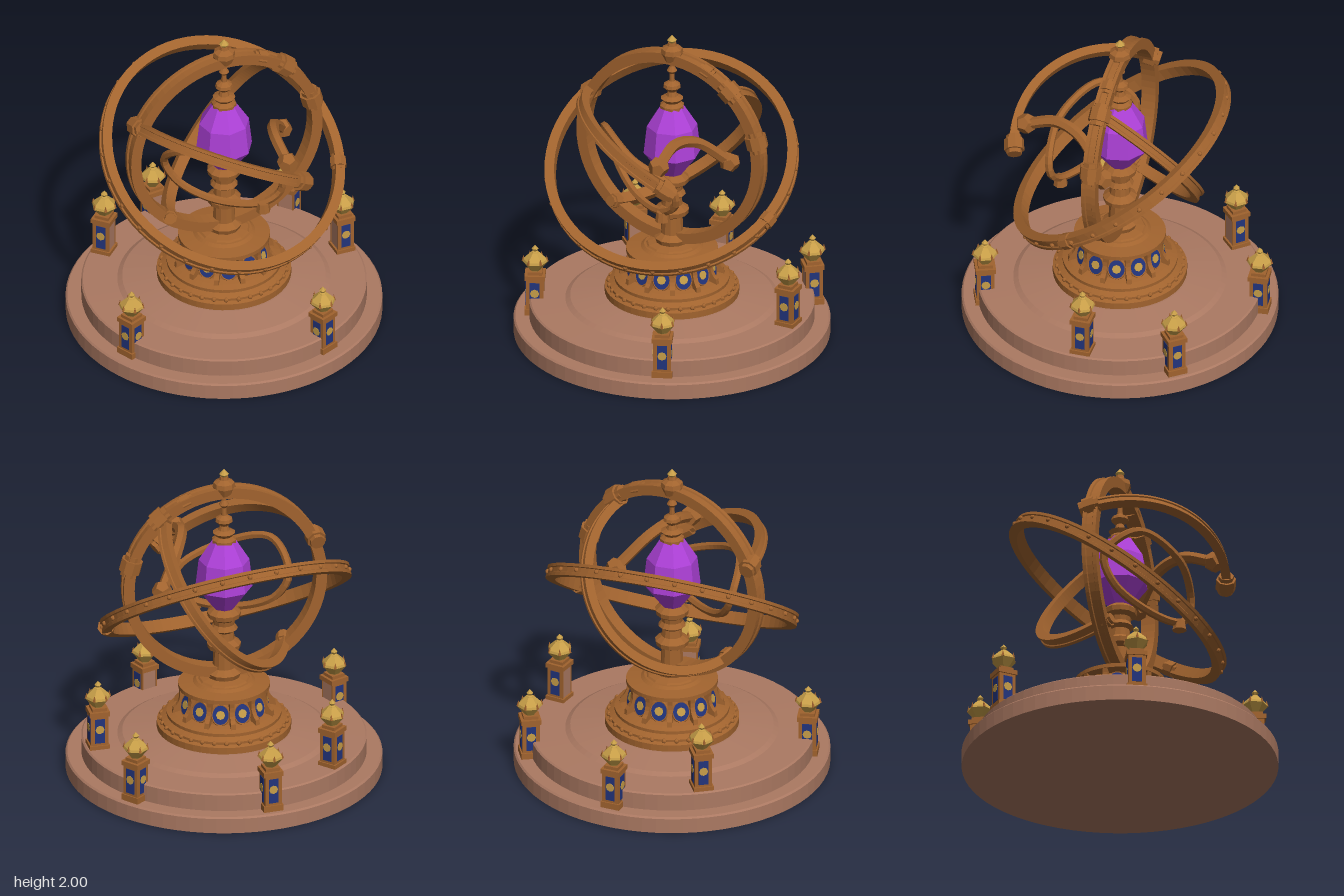
import * as THREE from 'three';

const mat = (name, color) => {
  const m = new THREE.MeshStandardMaterial({ color });
  m.name = name;
  m.flatShading = true;
  return m;
};

export function createModel() {
  const bronze = mat('bronze', 0xa1632e);
  const stone = mat('stone', 0xab7962);
  const gold = mat('gold', 0xc79e48);
  const blue = mat('blue enamel', 0x22347c);
  const purple = mat('purple crystal', 0xac40d6);

  const model = new THREE.Group();
  const add = (parent, name, geo, material, x = 0, y = 0, z = 0) => {
    const m = new THREE.Mesh(geo, material);
    m.name = name;
    m.position.set(x, y, z);
    parent.add(m);
    return m;
  };
  const group = (parent, name) => {
    const g = new THREE.Group();
    g.name = name;
    parent.add(g);
    return g;
  };
  const lathe = (pts, n, start = 0, length = Math.PI * 2) =>
    new THREE.LatheGeometry(pts.map(p => new THREE.Vector2(p[0], p[1])), n, start, length);

  // Stepped stone platform
  add(model, 'platform', lathe([
    [0, 0], [0.965, 0], [0.965, 0.095], [0.955, 0.105], [0.87, 0.105], [0.87, 0.21],
    [0.86, 0.218], [0.65, 0.222], [0.62, 0.24], [0.42, 0.268], [0, 0.27]], 72), stone);

  // Pedestal and stem
  add(model, 'pedestal', lathe([
    [0.41, 0.25], [0.41, 0.31], [0.385, 0.32], [0.385, 0.335], [0.35, 0.355], [0.35, 0.375], [0.31, 0.39],
    [0.27, 0.4], [0.238, 0.52], [0.28, 0.54], [0.28, 0.565], [0.19, 0.575], [0.17, 0.59], [0, 0.6]], 48), bronze);
  add(model, 'stem', lathe([
    [0.17, 0.58], [0.15, 0.6], [0.1, 0.61], [0.11, 0.64], [0.07, 0.67], [0.065, 0.78], [0.1, 0.8],
    [0.105, 0.83], [0.065, 0.86], [0.06, 0.91], [0.085, 0.93], [0.065, 0.96], [0.07, 0.99],
    [0.1, 1.01], [0.105, 1.04], [0.07, 1.07], [0, 1.07]], 12), bronze);

  // Rim studs, windows and curved pilasters around the pedestal
  const studGeo = new THREE.SphereGeometry(0.015, 8, 6);
  for (let i = 0; i < 32; i++) {
    const a = i / 32 * Math.PI * 2;
    add(model, 'rimStud', studGeo, bronze, 0.385 * Math.sin(a), 0.327, 0.385 * Math.cos(a));
  }
  const pilasterShape = new THREE.Shape();
  pilasterShape.moveTo(0.2, 0.385);
  pilasterShape.lineTo(0.32, 0.385);
  pilasterShape.lineTo(0.315, 0.42);
  pilasterShape.quadraticCurveTo(0.262, 0.46, 0.278, 0.545);
  pilasterShape.lineTo(0.2, 0.545);
  const pilasterGeo = new THREE.ExtrudeGeometry(pilasterShape, { depth: 0.03, bevelEnabled: false, curveSegments: 5 });
  pilasterGeo.translate(0, 0, -0.015).rotateY(-Math.PI / 2);
  const disc = (r, d, n) => new THREE.CylinderGeometry(r, r, d, n).rotateX(Math.PI / 2);
  const windowGeo = disc(0.05, 0.008, 16).scale(1, 1.2, 1);
  const frameGeo = new THREE.TorusGeometry(0.053, 0.006, 5, 20).scale(1, 1.2, 1);
  const emblemGeo = disc(0.028, 0.006, 8);
  for (let i = 0; i < 12; i++) {
    const bay = group(model, 'pedestalBay');
    bay.rotation.y = i / 12 * Math.PI * 2 - 0.12;
    const win = group(bay, 'window');
    win.position.set(0, 0.459, 0.257);
    win.rotation.x = -0.26;
    add(win, 'windowPane', windowGeo, blue);
    add(win, 'windowFrame', frameGeo, bronze);
    add(win, 'windowEmblem', emblemGeo, gold, 0, 0, 0.005);
    add(bay, 'pilaster', pilasterGeo, bronze).rotation.y = Math.PI / 12;
  }

  // Crystal with spindle and finial above
  add(model, 'crystal', lathe([[0, 1.05], [0.06, 1.06], [0.175, 1.21], [0.155, 1.39], [0.07, 1.525], [0, 1.53]], 8), purple);
  add(model, 'spindle', lathe([
    [0.075, 1.5], [0.075, 1.53], [0.05, 1.55], [0.07, 1.575], [0.035, 1.59], [0.025, 1.62], [0.055, 1.65],
    [0.05, 1.67], [0.018, 1.69], [0.015, 1.74], [0.032, 1.76], [0.014, 1.79], [0.012, 1.86]], 10), bronze);
  add(model, 'topBoss', lathe([[0, 1.81], [0.05, 1.83], [0.07, 1.88], [0.065, 1.91], [0.03, 1.93], [0.025, 1.95], [0, 1.95]], 8), bronze);
  add(model, 'topFinial', lathe([[0.012, 1.94], [0.03, 1.965], [0, 2]], 8), gold);

  // Angle around a ring of the point nearest a target
  const angleOn = (ring, target) => {
    const p = ring.worldToLocal(new THREE.Vector3(...target));
    return Math.atan2(p.x, p.z);
  };
  // Armillary ring, or an arc of one running from -> via -> to
  const makeRing = (name, R, c, n, w, h, span) => {
    const ring = group(model, name);
    ring.position.set(...c);
    ring.quaternion.setFromUnitVectors(new THREE.Vector3(0, 1, 0), new THREE.Vector3(...n).normalize());
    ring.userData.radius = R;
    ring.updateMatrixWorld(true);
    let start = 0, length = Math.PI * 2;
    if (span) {
      const [a, v, b] = span.map(p => angleOn(ring, p));
      const turn = (from, to) => THREE.MathUtils.euclideanModulo(to - from, Math.PI * 2);
      const forward = turn(a, v) < turn(a, b);
      start = forward ? a : b;
      length = forward ? turn(a, b) : turn(b, a);
    }
    add(ring, 'ringBand', lathe([
      [R + w, -h], [R + w, -h * 0.5], [R + w * 0.7, -h * 0.4], [R + w * 0.7, h * 0.4], [R + w, h * 0.5],
      [R + w, h], [R - w, h], [R - w, -h], [R + w, -h]], 72, start, length), bronze);
    return ring;
  };
  // Collar clasped on a ring
  const collarGeo = new THREE.CylinderGeometry(0.065, 0.065, 0.075, 8).rotateZ(Math.PI / 2);
  const lipGeo = new THREE.CylinderGeometry(0.05, 0.05, 0.13, 8).rotateZ(Math.PI / 2);
  const collar = (ring, target, s) => {
    const R = ring.userData.radius, a = angleOn(ring, target);
    const g = group(ring, 'ringCollar');
    g.position.set(R * Math.sin(a), 0, R * Math.cos(a));
    g.rotation.y = a;
    g.scale.setScalar(s);
    add(g, 'collarBody', collarGeo, bronze);
    add(g, 'collarLip', lipGeo, bronze);
  };

  const meridian = makeRing('meridianRing', 0.6, [0, 1.25, 0], [0.17, 0, 0.98], 0.034, 0.045);
  collar(meridian, [0.24, 1.81, -0.04], 0.75);
  collar(meridian, [0.39, 1.7, -0.07], 1.05);
  collar(meridian, [0.55, 1.4, -0.1], 1.05);

  const outer = makeRing('outerRing', 0.75, [-0.01, 1.13, -0.01], [0.25, 1, 0.65], 0.03, 0.038);
  collar(outer, [0.72, 0.98, 0], 0.8);
  for (let i = 0; i < 28; i++) {
    const a = i / 28 * Math.PI * 2;
    add(outer, 'ringStud', studGeo, bronze, 0.773 * Math.sin(a), 0, 0.773 * Math.cos(a));
  }

  const tiltedEnds = [[-0.56, 1.5, 0.08], [0.4, 1.24, 0.63]];
  const tilted = makeRing('tiltedArc', 0.645, [0.01, 1.2, 0], [0.46, 1, -0.4], 0.027, 0.034,
    [tiltedEnds[0], [-0.2, 1.5, 0.55], tiltedEnds[1]]);
  tiltedEnds.forEach(p => collar(tilted, p, 0.95));

  const steepEnds = [[0.4, 1.72, -0.07], [-0.38, 0.78, 0.1]];
  const steep = makeRing('steepArc', 0.575, [0, 1.24, 0], [-0.267, 0.205, -0.084], 0.028, 0.034,
    [steepEnds[0], [0.15, 1.2, -0.55], steepEnds[1]]);
  collar(steep, steepEnds[1], 0.7);

  // Free-form bands: curved arm and inner loop
  const band = (name, pts, r, closed) => {
    const curve = new THREE.CatmullRomCurve3(pts.map(p => new THREE.Vector3(...p)), closed);
    add(model, name, new THREE.TubeGeometry(curve, 48, r, 6, closed), bronze);
  };
  const knobGeo = new THREE.DodecahedronGeometry(0.066);
  const arm = [[0.28, 1.38, 0.5], [0.25, 1.44, 0.3], [0.28, 1.4, 0.12], [0.38, 1.22, -0.08]];
  band('curvedArm', arm, 0.036, false);
  add(model, 'armKnob', knobGeo, bronze, ...arm[0]);
  add(model, 'armKnob', knobGeo, bronze, ...arm[3]);
  band('innerLoop', [
    [-0.4, 1.24, 0.1], [-0.3, 1.4, 0.28], [0, 1.31, 0.4], [0.26, 1.18, 0.35], [0.28, 1.06, 0.33],
    [0.17, 0.97, 0.31], [-0.1, 0.97, 0.22], [-0.32, 1.08, 0.12]], 0.025, true);
  add(model, 'loopKnob', new THREE.CylinderGeometry(0.035, 0.045, 0.06, 8), bronze, 0.17, 0.945, 0.32);

  // Boundary pillars topped with gilded lanterns
  const box = (x, y, z) => new THREE.BoxGeometry(x, y, z);
  const gemGeo = lathe([[0.025, 0.27], [0.035, 0.29], [0.08, 0.345], [0.075, 0.36], [0.028, 0.405], [0, 0.41]], 6);
  const spikeGeo = lathe([[0.03, 0.395], [0.022, 0.41], [0.012, 0.415], [0.022, 0.43], [0, 0.455]], 6);
  const prongGeo = new THREE.ConeGeometry(0.012, 0.04, 4);
  const spots = [
    [-0.25, -0.83, 0.1], [0.565, -0.67, 0.1], [0.775, -0.15, 0.2],
    [0.455, 0.69, 0.1], [-0.69, 0.47, 0.1], [-0.64, -0.465, 0.2]];
  for (const [x, z, base] of spots) {
    const p = group(model, 'pillar');
    p.position.set(x, base, z);
    p.rotation.y = Math.atan2(x, z);
    add(p, 'pillarFoot', box(0.125, 0.045, 0.125), bronze, 0, 0.022, 0);
    add(p, 'pillarBody', box(0.1, 0.22, 0.1), stone, 0, 0.14, 0);
    add(p, 'pillarCap', box(0.125, 0.03, 0.125), bronze, 0, 0.252, 0);
    add(p, 'pillarNeck', box(0.09, 0.025, 0.09), bronze, 0, 0.275, 0);
    for (const turn of [-1, 0, 1]) {
      const side = group(p, 'pillarFace');
      side.rotation.y = turn * Math.PI / 2;
      add(side, 'facePlate', box(0.106, 0.2, 0.008), bronze, 0, 0.14, 0.05);
      add(side, 'enamelPanel', box(0.06, 0.16, 0.006), blue, 0, 0.14, 0.054);
      add(side, 'panelEmblem', emblemGeo, gold, 0, 0.15, 0.056);
    }
    add(p, 'lantern', gemGeo, gold);
    add(p, 'lanternSpike', spikeGeo, gold);
    for (let i = 0; i < 6; i++) {
      const a = i / 6 * Math.PI * 2;
      add(p, 'lanternProng', prongGeo, bronze, 0.071 * Math.sin(a), 0.365, 0.071 * Math.cos(a));
    }
  }
  return model;
}
